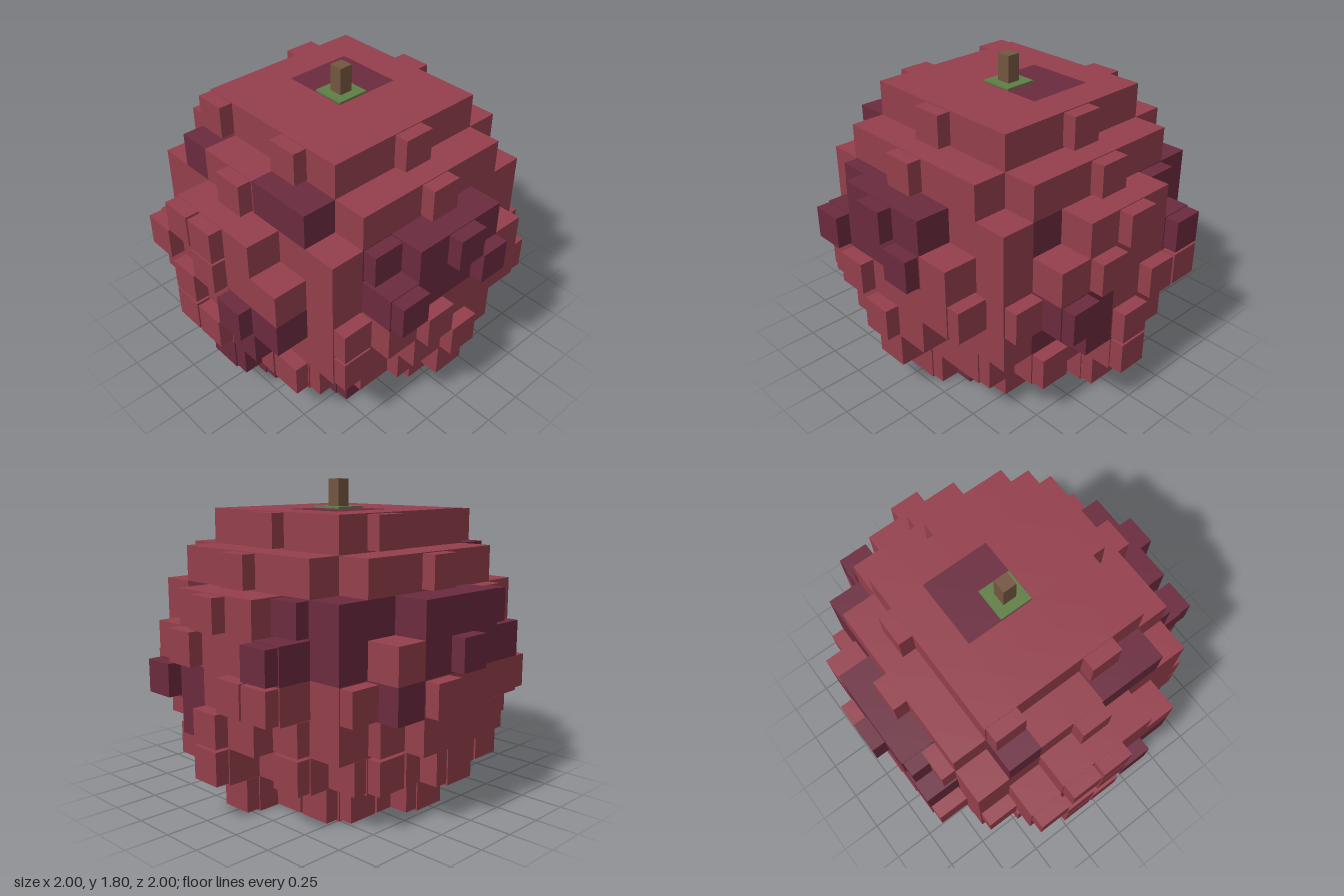
import * as THREE from 'three';
import { mergeGeometries } from 'three/addons/utils/BufferGeometryUtils.js';

const CELL = 0.2037;
const material = (name, color) => {
  const m = new THREE.MeshStandardMaterial({ color });
  m.name = name;
  return m;
};

// Squared horizontal radius of each layer, bottom to top, in cells
const LAYERS = [9, 16, 18, 20, 20, 18, 13, 8];
const filled = (x, l, z) => l >= 0 && l < 8 && x * x + z * z <= LAYERS[l];

// Dark patches as boxes of cells: x range, layer range, z range
const PATCHES = [
  [-2, 1, 4, 5, 3, 4], [-3, -3, 6, 6, 1, 2], [-3, -3, 6, 6, -2, -2],
  [0, 1, 7, 7, -1, 0], [3, 3, 5, 5, -3, -2], [3, 4, 4, 4, -3, -2],
  [2, 2, 5, 5, -3, -3], [-1, 1, 5, 5, -4, -4], [-2, 1, 4, 4, -4, -4],
  [2, 2, 3, 3, -4, -4], [3, 3, 5, 5, 2, 2], [4, 4, 2, 3, 1, 2],
  [3, 3, 2, 2, 2, 2], [-4, -4, 2, 3, 1, 2], [-4, -4, 1, 1, 0, 0],
  [-3, -2, 0, 0, 0, 2], [-1, 1, 0, 0, 2, 2],
];
const isDark = (x, l, z) => PATCHES.some(([x0, x1, l0, l1, z0, z1]) =>
  x >= x0 && x <= x1 && l >= l0 && l <= l1 && z >= z0 && z <= z1);

// Small knobs per side: for each layer from the bottom, the cells along that side
const KNOBS = [
  { name: 'frontKnob', dir: [0, 1], rows: [[-3, -2, 1], [-4, -3, -1], [-3, 0], [-3, -1], [-2, 1], [-2, 0], [0], [0]] },
  { name: 'leftKnob', dir: [1, 0], rows: [[3, 1, 0, -1, -2, -3], [3, 2, 0, -2, -3, -4], [0, -2], [4, 3, 2, -1, -2], [1, -2], [0, -2], [0], [0]] },
  { name: 'backKnob', dir: [0, -1], rows: [[2, 1, -1], [2, 1, -1, -2], [-2, 2], [1, 3], [0], [-2], [0], [1]] },
  { name: 'rightKnob', dir: [-1, 0], rows: [[-2, -1, 1], [-3, -2, 1, 2], [-4, -1, 0], [-4, -3, -1, 1], [-2, 0], [-4, -1, 0], [0], [-2, 1]] },
];

// One outward square of a cell
function cellFace(x, l, z, [dx, dy, dz]) {
  const g = new THREE.PlaneGeometry(CELL, CELL);
  g.translate(0, 0, CELL / 2);
  if (dy) g.rotateX(-dy * Math.PI / 2);
  else g.rotateY(Math.atan2(dx, dz));
  return g.translate(x * CELL, (l + 0.5) * CELL, z * CELL);
}

export function createModel() {
  const group = new THREE.Group();
  const skin = material('red skin', 0x943f4c);
  const dark = material('dark red skin', 0x6b2b3f);
  const green = material('leaf green', 0x5f7f45);
  const brown = material('stem brown', 0x735640);

  const add = (name, geometry, mat, x = 0, y = 0, z = 0) => {
    const mesh = new THREE.Mesh(geometry, mat);
    mesh.name = name;
    mesh.position.set(x, y, z);
    group.add(mesh);
  };

  // Fruit body: only the exposed faces of the cells, sorted by colour
  const faces = { skin: [], dark: [] };
  const dirs = [[1, 0, 0], [-1, 0, 0], [0, 1, 0], [0, -1, 0], [0, 0, 1], [0, 0, -1]];
  for (let l = 0; l < 8; l++) for (let x = -4; x <= 4; x++) for (let z = -4; z <= 4; z++) {
    if (!filled(x, l, z)) continue;
    const list = isDark(x, l, z) ? faces.dark : faces.skin;
    for (const d of dirs) {
      if (!filled(x + d[0], l + d[1], z + d[2])) list.push(cellFace(x, l, z, d));
    }
  }
  add('fruitBody', mergeGeometries(faces.skin), skin);
  add('darkPatches', mergeGeometries(faces.dark), dark);

  // Knobs sit on the outermost cell of their row and take its colour
  const size = 0.188;
  const knob = new THREE.BoxGeometry(size, size, size);
  const reach = CELL / 2 + 0.083 - size / 2;
  for (const { name, dir: [dx, dz], rows } of KNOBS) {
    rows.forEach((row, l) => row.forEach((t) => {
      let d = 4;
      const at = () => (dx ? [dx * d, t] : [t, dz * d]);
      while (d > 0 && !filled(at()[0], l, at()[1])) d--;
      const [x, z] = at();
      add(name, knob, isDark(x, l, z) ? dark : skin,
        x * CELL + dx * reach, (l + 0.5) * CELL + 0.003, z * CELL + dz * reach);
    }));
  }

  // Leaf plate and stem
  add('leafPlate', new THREE.BoxGeometry(0.196, 0.012, 0.196), green, 0, 1.635, 0);
  add('stem', new THREE.BoxGeometry(0.082, 0.17, 0.082), brown, 0, 1.713, 0);
  return group;
}
